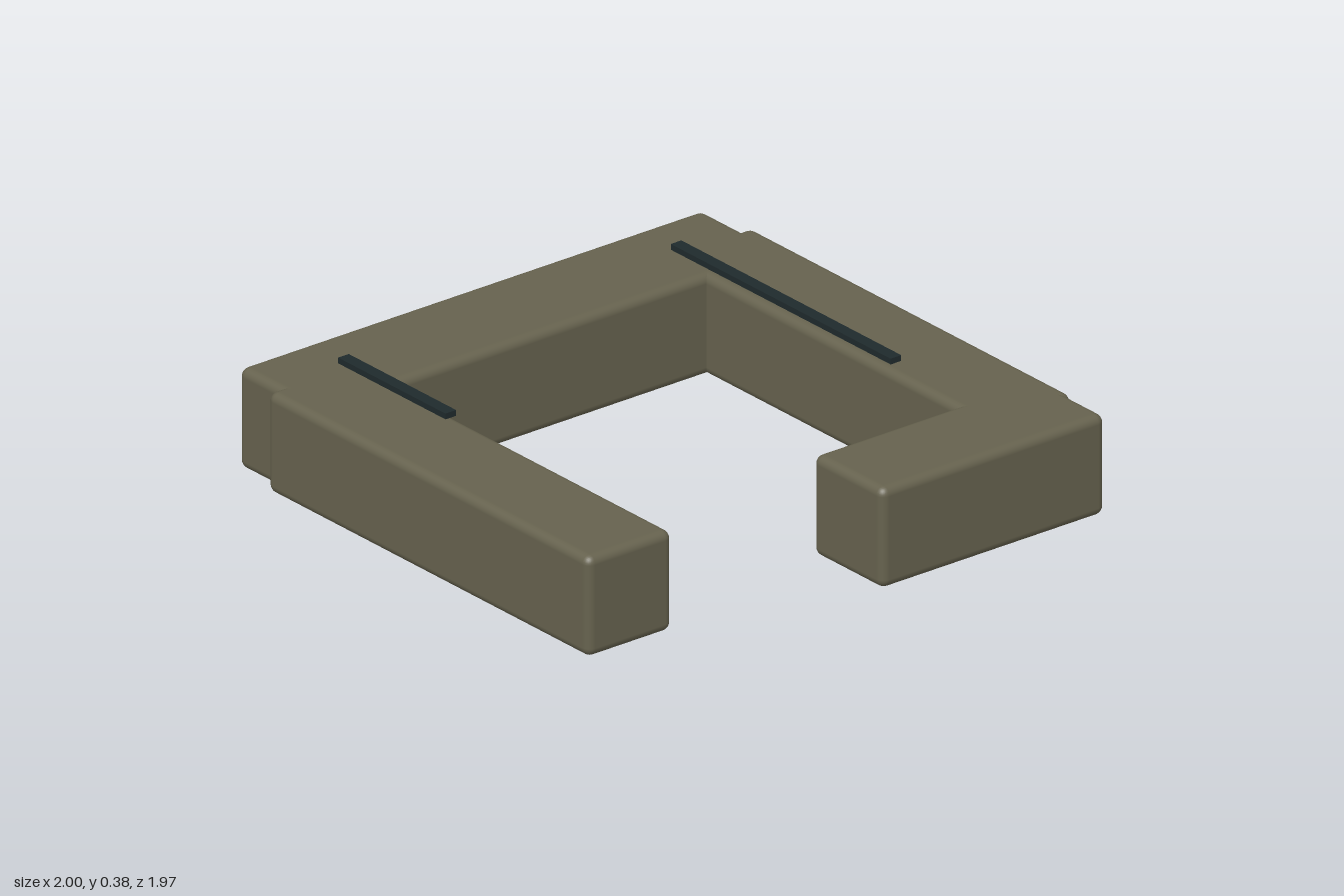
import * as THREE from 'three';
import { RoundedBoxGeometry } from 'three/addons/geometries/RoundedBoxGeometry.js';

export function createModel() {
  const group = new THREE.Group();
  const olive = new THREE.MeshStandardMaterial({ color: 0x66624e });
  olive.name = 'olive fabric';
  const dark = new THREE.MeshStandardMaterial({ color: 0x1f2a2c });
  dark.name = 'dark strip';

  // Places a block by its extents; a radius rounds its edges
  function block(name, material, x0, x1, y0, y1, z0, z1, radius) {
    const size = [x1 - x0, y1 - y0, z1 - z0];
    const geometry = radius
      ? new RoundedBoxGeometry(...size, 3, radius)
      : new THREE.BoxGeometry(...size);
    const mesh = new THREE.Mesh(geometry, material);
    mesh.name = name;
    mesh.position.set((x0 + x1) / 2, (y0 + y1) / 2, (z0 + z1) / 2);
    group.add(mesh);
  }

  // Padded bars forming an open, hooked frame
  const height = 0.35;
  const bars = [
    ['sideBar', -1, -0.6, -0.945, 0.94],
    ['backBar', -0.8, 0.815, -0.985, -0.64],
    ['frontBar', -0.8, 0.815, 0.64, 0.985],
    ['hookBar', 0.65, 1, -0.97, -0.06],
  ];
  for (const [name, x0, x1, z0, z1] of bars) block(name, olive, x0, x1, 0, height, z0, z1, 0.03);

  // Thin strips just above the bars
  block('backStrip', dark, -0.8, 0.305, 0.363, 0.383, -0.7, -0.657);
  block('frontStrip', dark, -0.8, -0.26, 0.363, 0.383, 0.652, 0.695);

  return group;
}
